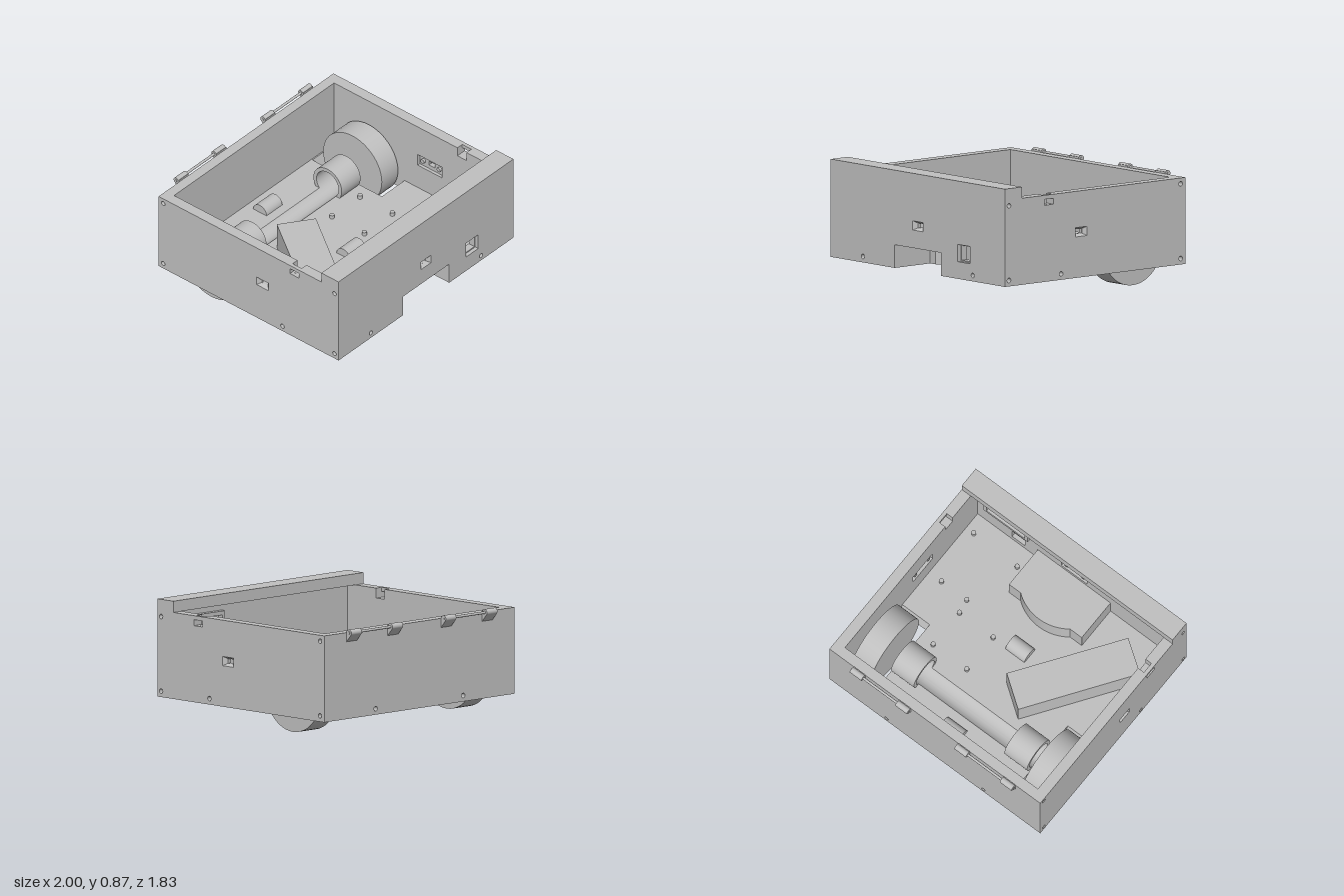
import * as THREE from 'three';
import { toCreasedNormals } from 'three/addons/utils/BufferGeometryUtils.js';

const FLOOR_BOTTOM = 0.13, FLOOR_TOP = 0.215, WALL_TOP = 0.785;

export function createModel() {
  const model = new THREE.Group();
  const grey = new THREE.MeshStandardMaterial({ color: 0xc0c0c0, side: THREE.DoubleSide });
  grey.name = 'plain grey';

  const add = (name, geometry, x = 0, y = 0, z = 0) => {
    const mesh = new THREE.Mesh(geometry, grey);
    mesh.name = name;
    mesh.position.set(x, y, z);
    model.add(mesh);
    return mesh;
  };
  const box = (name, x0, x1, y0, y1, z0, z1) =>
    add(name, new THREE.BoxGeometry(x1 - x0, y1 - y0, z1 - z0), (x0 + x1) / 2, (y0 + y1) / 2, (z0 + z1) / 2);
  const rod = (name, r, x0, x1, y, z) =>
    add(name, new THREE.CylinderGeometry(r, r, x1 - x0, 48).rotateZ(Math.PI / 2), (x0 + x1) / 2, y, z);

  // Outlines
  const poly = (pts) => new THREE.Shape(pts.map((p) => new THREE.Vector2(p[0], p[1])));
  const rect = (u, v, w, h) =>
    poly([[u - w / 2, v - h / 2], [u + w / 2, v - h / 2], [u + w / 2, v + h / 2], [u - w / 2, v + h / 2]]);
  const circle = (u, v, r) => new THREE.Shape().absarc(u, v, r, 0, Math.PI * 2, false);
  const arc = (u, v, r, a0, a1, n = 20) =>
    Array.from({ length: n + 1 }, (_, i) => {
      const a = a0 + ((a1 - a0) * i) / n;
      return [u + r * Math.cos(a), v + r * Math.sin(a)];
    });
  const extrude = (shape, holes, depth) => {
    shape.holes = holes;
    return toCreasedNormals(
      new THREE.ExtrudeGeometry(shape, { depth, bevelEnabled: false, curveSegments: 24 }), 0.5);
  };
  // Slabs along each axis: outline in (-z, y), (x, y) or (x, -z)
  const slabX = (name, shape, holes, x0, x1) =>
    add(name, extrude(shape, holes, x1 - x0).rotateY(Math.PI / 2), x0);
  const slabZ = (name, shape, holes, z0, z1) => add(name, extrude(shape, holes, z1 - z0), 0, 0, z0);
  const slabY = (name, shape, holes, y0, y1) =>
    add(name, extrude(shape, holes, y1 - y0).rotateX(-Math.PI / 2), 0, y0);
  const flip = (pts) => pts.map(([z, v]) => [-z, v]);

  // Tapered port mouth, wide end facing +z
  const funnel = () => {
    const g = new THREE.CylinderGeometry(Math.SQRT1_2, Math.SQRT1_2 * 0.52, 0.03, 4, 1, true);
    g.rotateY(Math.PI / 4).rotateX(Math.PI / 2).scale(0.118, 0.07, 1);
    return toCreasedNormals(g, 0.5);
  };

  // Side walls: three layers with screw holes, a port and a latch slot
  const screws = () => [[0.875, 0.74], [-0.82, 0.74], [0.875, 0.175], [0.36, 0.175], [-0.82, 0.175]]
    .map(([z, y]) => circle(-z, y, 0.018));
  const sideOutline = (notch) => poly(flip([
    [-0.865, FLOOR_BOTTOM], [0.915, FLOOR_BOTTOM], [0.915, WALL_TOP],
    ...(notch ? [[0.525, WALL_TOP], [0.525, 0.71], [0.435, 0.71], [0.435, WALL_TOP]] : []),
    [-0.865, WALL_TOP]]));
  for (const s of [1, -1]) {
    const layer = (name, shape, holes, a, b) =>
      slabX(name, shape, holes, Math.min(s * a, s * b), Math.max(s * a, s * b));
    layer('sideWallOuter', sideOutline(false),
      [...screws(), rect(-0.162, 0.475, 0.118, 0.07), rect(-0.48, 0.732, 0.09, 0.045)], 0.97, 1);
    layer('sideWallMiddle', sideOutline(true), [...screws(), rect(-0.162, 0.475, 0.061, 0.036)], 0.94, 0.97);
    layer('sideWallInner', sideOutline(true), [...screws(), rect(-0.162, 0.475, 0.24, 0.1)], 0.915, 0.94);
    add('sidePort', funnel(), s * 0.985, 0.475, 0.162).rotation.y = (s * Math.PI) / 2;
    for (const dz of [-0.08, 0.08]) rod('sidePortPeg', 0.018, s * 0.93 - 0.01, s * 0.93 + 0.01, 0.475, 0.162 + dz);
  }

  // Front wall: caster opening, port and square window
  const frontOutline = () => poly([
    [-0.915, FLOOR_BOTTOM], [-0.265, FLOOR_BOTTOM], [-0.265, 0.305], [0.265, 0.305], [0.265, FLOOR_BOTTOM],
    [0.915, FLOOR_BOTTOM], [0.915, WALL_TOP], [-0.915, WALL_TOP]]);
  const frontLayers = [
    [0.885, 0.915, [0.118, 0.07], 0.14], [0.855, 0.885, [0.061, 0.036], 0.12], [0.83, 0.855, [0.24, 0.1], 0.12]];
  for (const [z0, z1, port, win] of frontLayers)
    slabZ('frontWall', frontOutline(), [
      rect(0, 0.475, ...port), rect(0.528, 0.325, win, win * 0.93),
      circle(-0.63, 0.175, 0.018), circle(0.63, 0.175, 0.018)], z0, z1);
  add('frontPort', funnel(), 0, 0.475, 0.9);
  for (const x of [-0.08, 0.08])
    add('frontPortPeg', new THREE.CylinderGeometry(0.018, 0.018, 0.02, 20).rotateX(Math.PI / 2), x, 0.475, 0.845);
  box('frontLip', -1, 1, WALL_TOP, 0.87, 0.745, 0.915);

  // Framed mount inside the front wall
  slabZ('mountFrame', rect(0.62, 0.63, 0.42, 0.2), [rect(0.62, 0.63, 0.36, 0.14)], 0.79, 0.83);
  for (const x of [0.54, 0.7])
    add('mountPeg', new THREE.CylinderGeometry(0.02, 0.02, 0.02, 20).rotateX(Math.PI / 2), x, 0.63, 0.82);

  // Back wall
  slabZ('backWall', rect(0, (FLOOR_BOTTOM + WALL_TOP) / 2, 1.83, WALL_TOP - FLOOR_BOTTOM),
    [circle(-0.46, 0.175, 0.018), circle(0.46, 0.175, 0.018)], -0.865, -0.785);

  // Floor: grooved rear, side strips around the wheel wells, front with caster cutout
  const grooveAngle = Math.asin(0.075 / 0.11);
  slabX('floorRear', poly([
    [0.785, FLOOR_BOTTOM], [0.785, FLOOR_TOP],
    ...arc(0.43, 0.29, 0.11, -grooveAngle, -Math.PI + grooveAngle),
    [0.3, FLOOR_TOP], [0.3, FLOOR_BOTTOM]]), [], -0.655, 0.655);
  for (const x0 of [-0.915, 0.655]) {
    slabX('floorSide', poly(flip([
      [-0.115, FLOOR_BOTTOM], [0.83, FLOOR_BOTTOM], [0.83, FLOOR_TOP], [-0.088, FLOOR_TOP]])), [], x0, x0 + 0.26);
    slabX('wellBack', poly(flip([
      [-0.785, FLOOR_BOTTOM], [-0.745, FLOOR_BOTTOM], [-0.775, FLOOR_TOP], [-0.785, FLOOR_TOP]])), [], x0, x0 + 0.26);
  }
  const bay = (half, z, r) => {
    const a = Math.asin((0.785 - z) / r);
    return [[-half, -0.83], [-half, -z], ...arc(0, -0.785, r, Math.PI - a, a), [half, -z], [half, -0.83]];
  };
  const innerBay = bay(0.265, 0.565, 0.3), outerBay = bay(0.345, 0.48, 0.385);
  slabY('floorFront', poly([[-0.655, 0.3], [-0.655, -0.83], ...innerBay, [0.655, -0.83], [0.655, 0.3]]),
    [], FLOOR_BOTTOM, FLOOR_TOP);

  // Caster housing
  slabY('casterHousingWall', poly([...outerBay, ...[...innerBay].reverse()]), [], FLOOR_TOP, 0.305);
  slabY('casterHousingRoof', poly(outerBay), [], 0.305, 0.39);

  // Wheels and motor sleeves
  for (const s of [1, -1]) {
    rod('wheel', 0.29, s * 0.8075 - 0.0925, s * 0.8075 + 0.0925, 0.29, -0.43);
    slabX('motorSleeve', circle(0.43, 0.29, 0.14), [circle(0.43, 0.29, 0.11)],
      s * 0.5375 - 0.1075, s * 0.5375 + 0.1075);
  }

  // Floor fittings: angled block, rounded ribs and pegs
  slabY('angledBlock', poly([[-0.33, 0.275], [-0.085, 0.1], [-0.63, -0.68], [-0.875, -0.51]]), [], FLOOR_TOP, 0.43);
  for (const z of [0.175, -0.65]) rod('roundedRib', 0.066, -0.09, 0.09, FLOOR_TOP, z);
  const pegs = [[0.215, -0.2], [0.535, -0.2], [0.215, 0.12], [0.535, 0.12],
    [0.555, 0.235], [0.795, 0.235], [0.42, 0.675], [0.84, 0.685]];
  for (const [x, z] of pegs)
    add('floorPeg', new THREE.CylinderGeometry(0.018, 0.018, 0.03, 20), x, FLOOR_TOP + 0.015, z);

  // Hinges on the back edge
  for (const s of [1, -1]) {
    for (const c of [0.28, 0.712]) {
      const x0 = s * c - 0.055, x1 = s * c + 0.055;
      rod('hingeBarrel', 0.025, x0, x1, 0.785, -0.893);
      slabX('hingeBracket', poly(flip([[-0.865, 0.715], [-0.865, 0.8], [-0.893, 0.785], [-0.913, 0.77]])), [], x0, x1);
    }
    rod('hingePin', 0.01, s * 0.497 - 0.275, s * 0.497 + 0.275, 0.785, -0.893);
  }
  return model;
}
